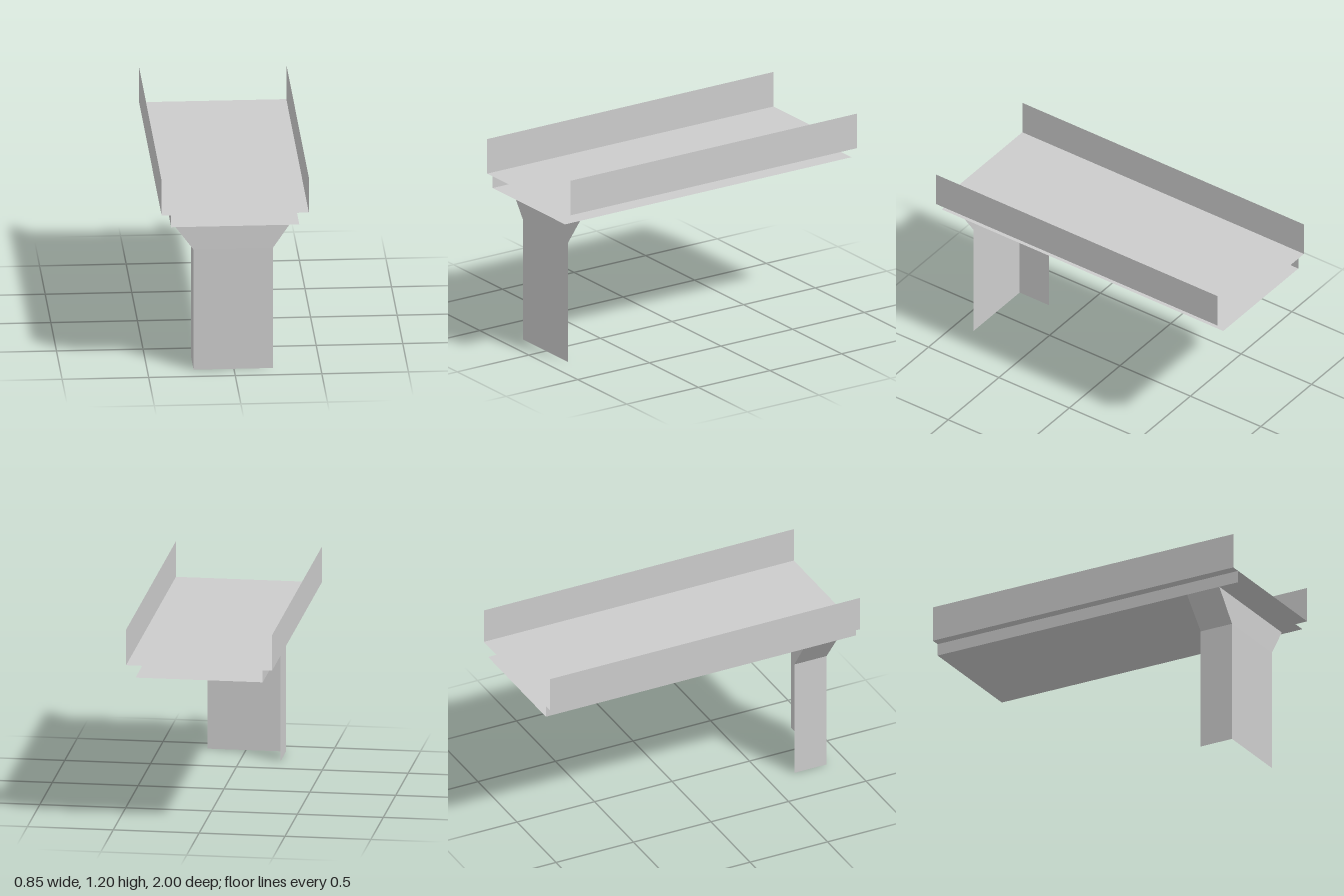
import * as THREE from 'three';

const concrete = new THREE.MeshStandardMaterial({ color: 0xcccccc, side: THREE.DoubleSide, flatShading: true });
concrete.name = 'concrete grey';

// Thin sheet from four corners, given in order around its edge
function sheet(name, ...corners) {
  const geometry = new THREE.BufferGeometry();
  geometry.setAttribute('position', new THREE.Float32BufferAttribute(corners.flat(), 3));
  geometry.setIndex([0, 1, 2, 0, 2, 3]);
  geometry.computeVertexNormals();
  const mesh = new THREE.Mesh(geometry, concrete);
  mesh.name = name;
  return mesh;
}

// Horizontal sheet running the full length of the span
const slab = (name, halfWidth, y) => sheet(name,
  [-halfWidth, y, 1], [halfWidth, y, 1], [halfWidth, y, -1], [-halfWidth, y, -1]);

// Vertical sheet running the full length of the span
const wall = (name, x, bottom, top) => sheet(name,
  [x, bottom, 1], [x, bottom, -1], [x, top, -1], [x, top, 1]);

export function createModel() {
  const model = new THREE.Group();
  model.name = 'bridgeSection';

  const deckY = 0.985, soffitY = 0.913, railY = 1.197;
  const deckHalf = 0.425, soffitHalf = 0.37;

  // Road deck, underside, girder web and the two parapets
  const span = new THREE.Group();
  span.name = 'span';
  span.add(
    slab('roadDeck', deckHalf, deckY),
    slab('underside', soffitHalf, soffitY),
    wall('girderWeb', -soffitHalf, soffitY, deckY),
    wall('leftParapet', deckHalf, deckY, railY),
    wall('rightParapet', -deckHalf, deckY, railY),
  );

  // Pier: open shell with a front and one side, flaring below the span
  const pier = new THREE.Group();
  pier.name = 'pier';
  const xr = -0.233, xl = 0.225, front = 0.88, back = 0.672, neck = 0.732;
  const capR = -0.37, capL = 0.35, capFront = 0.875, capBack = 0.66;
  pier.add(
    sheet('pierFront', [xr, 0, front], [xl, 0, front], [xl, neck, front], [xr, neck, front]),
    sheet('pierSide', [xr, 0, back], [xr, 0, front], [xr, neck, front], [xr, neck, back]),
    sheet('capFront', [xr, neck, front], [xl, neck, front], [capL, soffitY, capFront], [capR, soffitY, capFront]),
    sheet('capSide', [xr, neck, back], [xr, neck, front], [capR, soffitY, capFront], [capR, soffitY, capBack]),
  );

  model.add(span, pier);
  return model;
}
